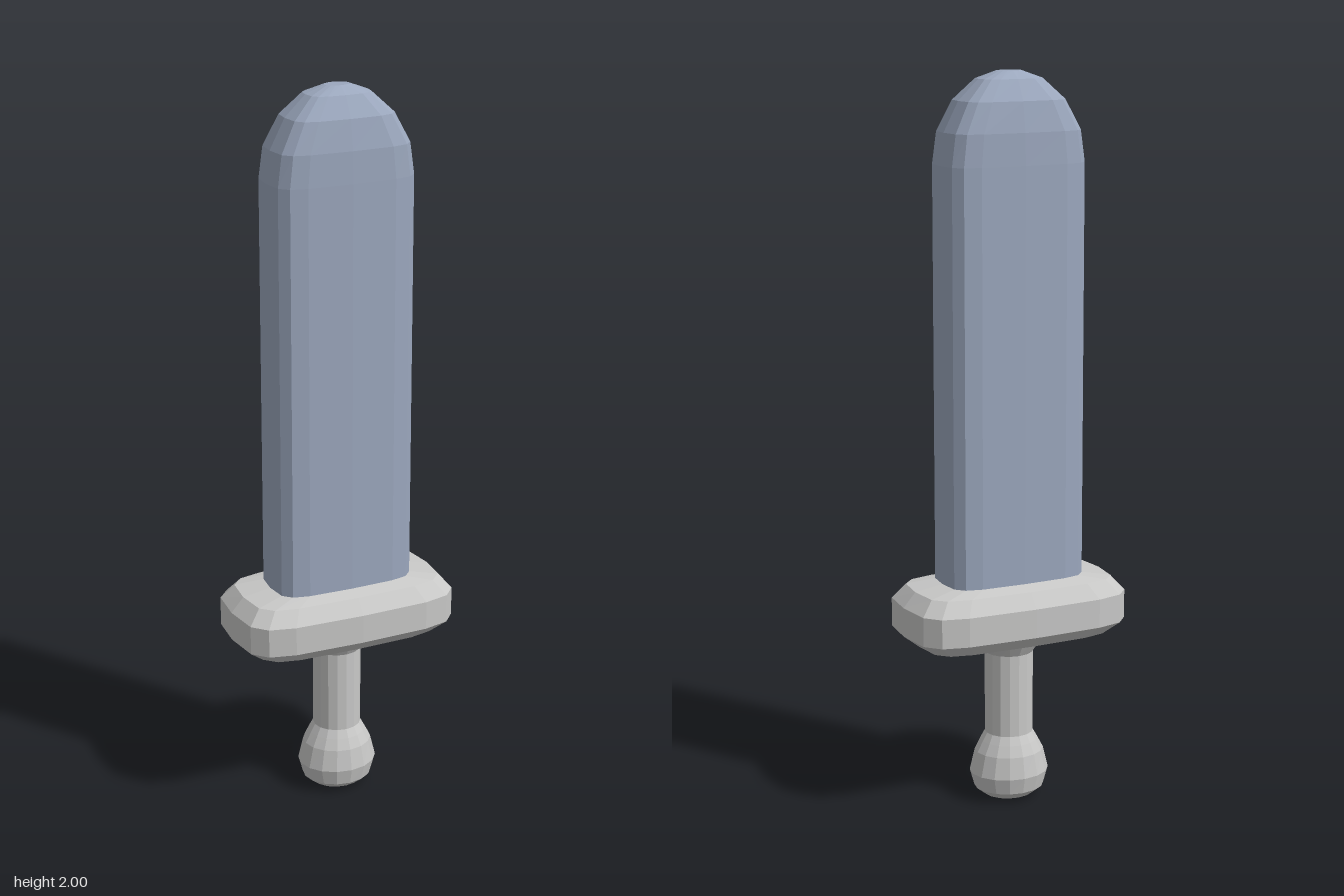
import * as THREE from 'three';

const SIDES = 16;
// One quarter of the rounded-rectangle cross-section, on a unit square
const QUARTER = [[1, 0], [0.965, 0.62], [0.85, 0.86], [0.62, 0.965]];

// Unit outline point j; square = 1 gives the rounded rectangle, 0 a circle
function outline(j, square) {
  const a = (j % SIDES) / SIDES * Math.PI * 2;
  const k = j % 4, quarter = Math.floor(j / 4) % 4;
  // Mirror the quarter into all four quadrants
  const mirrored = quarter % 2 === 1;
  const [px, pz] = mirrored ? (k === 0 ? [0, 1] : QUARTER[4 - k]) : QUARTER[k];
  const sx = quarter === 1 || quarter === 2 ? -1 : 1;
  const sz = quarter >= 2 ? -1 : 1;
  return [
    THREE.MathUtils.lerp(Math.cos(a), px * sx, square),
    THREE.MathUtils.lerp(Math.sin(a), pz * sz, square),
  ];
}

// Closed loft through rings [y, halfWidth, halfDepth, square], bottom to top
function loft(rings) {
  const positions = [], index = [];
  for (const [y, rx, rz, square] of rings) {
    for (let j = 0; j < SIDES; j++) {
      const [x, z] = outline(j, square);
      positions.push(x * rx, y, z * rz);
    }
  }
  const bottom = positions.length / 3, top = bottom + 1;
  const last = (rings.length - 1) * SIDES;
  positions.push(0, rings[0][0], 0, 0, rings[rings.length - 1][0], 0);
  for (let j = 0; j < SIDES; j++) {
    const n = (j + 1) % SIDES;
    for (let r = 0; r < last; r += SIDES) {
      const a = r + j, b = r + n, c = a + SIDES, d = b + SIDES;
      index.push(a, c, b, b, c, d);
    }
    index.push(bottom, j, n, top, last + n, last + j);
  }
  const geometry = new THREE.BufferGeometry();
  geometry.setAttribute('position', new THREE.Float32BufferAttribute(positions, 3));
  geometry.setIndex(index);
  const flat = geometry.toNonIndexed();
  flat.computeVertexNormals();
  return flat;
}

export function createModel() {
  const group = new THREE.Group();
  group.name = 'shortSword';

  const steel = new THREE.MeshStandardMaterial({ color: 0x9ca8be });
  steel.name = 'blueSteel';
  const silver = new THREE.MeshStandardMaterial({ color: 0xc8c8c7 });
  silver.name = 'silver';

  const add = (name, material, rings) => {
    const mesh = new THREE.Mesh(loft(rings), material);
    mesh.name = name;
    group.add(mesh);
  };

  // Thick straight blade with a rounded tip
  add('blade', steel, [
    [0.6, 0.2, 0.1, 1],
    [1.76, 0.2, 0.1, 1],
    [1.845, 0.188, 0.098, 1],
    [1.925, 0.146, 0.085, 0.9],
    [1.98, 0.088, 0.055, 0.7],
    [2.0, 0.035, 0.025, 0],
  ]);

  // Wide bevelled guard
  add('guard', silver, [
    [0.45, 0.09, 0.08, 0.3],
    [0.467, 0.27, 0.135, 1],
    [0.502, 0.315, 0.17, 1],
    [0.582, 0.315, 0.17, 1],
    [0.622, 0.28, 0.138, 1],
    [0.636, 0.19, 0.095, 1],
  ]);

  // Round grip flaring into the guard
  add('grip', silver, [
    [0.15, 0.067, 0.065, 0],
    [0.42, 0.067, 0.065, 0],
    [0.455, 0.094, 0.085, 0],
  ]);

  // Bulbous pommel
  add('pommel', silver, [
    [0, 0.05, 0.045, 0],
    [0.008, 0.07, 0.064, 0],
    [0.03, 0.098, 0.09, 0],
    [0.075, 0.111, 0.1, 0],
    [0.135, 0.096, 0.09, 0],
    [0.165, 0.08, 0.077, 0],
    [0.19, 0.066, 0.064, 0],
  ]);

  return group;
}
